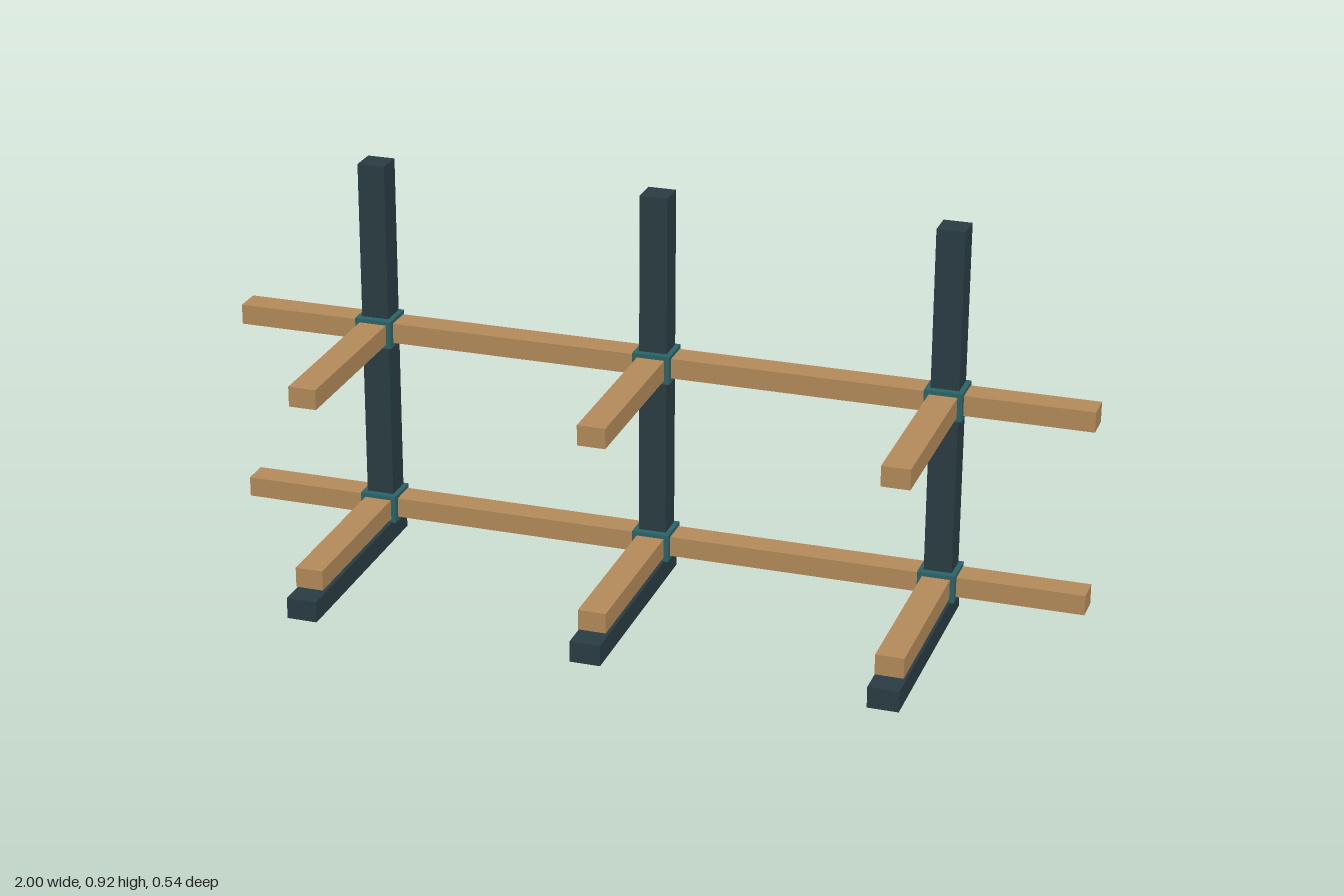
import * as THREE from 'three';

export function createModel() {
  const model = new THREE.Group();
  model.name = 'timberRack';

  const material = (name, color) => {
    const m = new THREE.MeshStandardMaterial({ color });
    m.name = name;
    return m;
  };
  const wood = material('wood', 0xb38b5b);
  const darkSteel = material('darkSteel', 0x293c43);
  const teal = material('teal', 0x2b6468);

  // Box given by its extents along each axis
  const beam = (name, mat, [x0, x1], [y0, y1], [z0, z1], parent) => {
    const mesh = new THREE.Mesh(new THREE.BoxGeometry(x1 - x0, y1 - y0, z1 - z0), mat);
    mesh.position.set((x0 + x1) / 2, (y0 + y1) / 2, (z0 + z1) / 2);
    mesh.name = name;
    parent.add(mesh);
  };

  const levels = [0.08, 0.517]; // centre heights of the two tiers
  const postZ = [-0.26, -0.197];

  // Long rails running across all the posts
  for (const y of levels) {
    beam('rail', wood, [-1, 1], [y - 0.0235, y + 0.0235], postZ, model);
  }

  // Three upright frames, each with a foot, a post, two arms and two joints
  for (const x of [-0.667, 0, 0.667]) {
    const frame = new THREE.Group();
    frame.name = 'uprightFrame';
    frame.position.x = x;
    model.add(frame);

    beam('foot', darkSteel, [-0.035, 0.035], [0, 0.049], [-0.27, 0.27], frame);
    beam('post', darkSteel, [-0.032, 0.032], [0.045, 0.916], postZ, frame);
    for (const y of levels) {
      beam('arm', wood, [-0.032, 0.032], [y - 0.0235, y + 0.0235], [-0.2, 0.223], frame);
      beam('joint', teal, [-0.043, 0.043], [y - 0.033, y + 0.033], [-0.265, -0.181], frame);
    }
  }

  return model;
}
